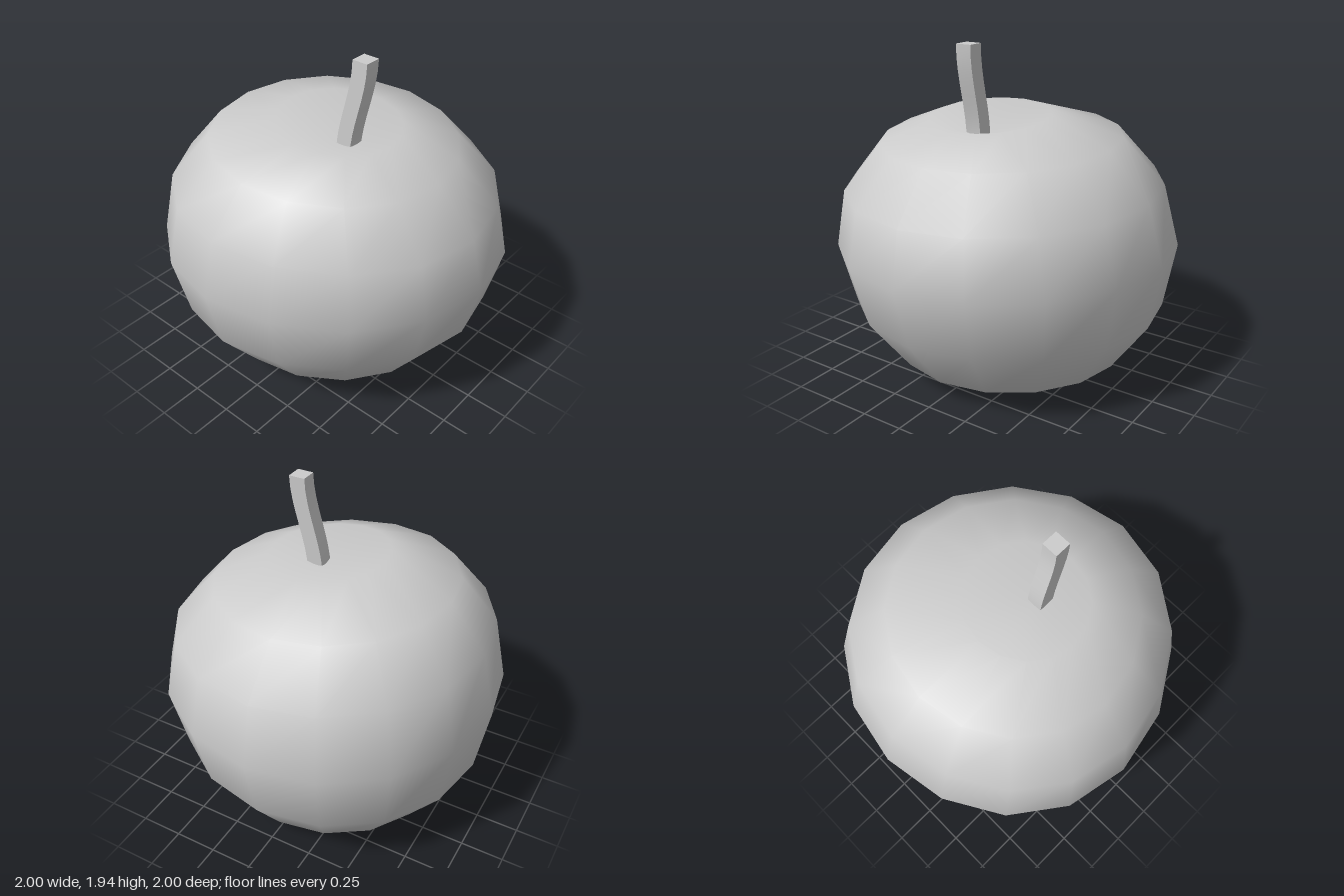
import * as THREE from 'three';
import { toCreasedNormals } from 'three/addons/utils/BufferGeometryUtils.js';

const SIDES = 16;

// Rings from bottom to top: [radius, y, centre x, centre z, fall towards the front]
const RINGS = [
  [0.37, 0.01, -0.03, -0.06, 0],
  [0.695, 0.125, 0.02, -0.025, -0.014],
  [0.92, 0.43, 0.01, -0.015, -0.02],
  [1, 0.805, 0, 0, 0.005],
  [0.925, 1.15, -0.015, 0.01, 0.04],
  [0.7, 1.41, -0.03, 0.005, 0.054],
  [0.35, 1.532, -0.06, 0.06, 0.09],
];

// Lopsided fruit with hollows at both poles
function fruitGeometry() {
  const points = [];
  const index = [];
  for (const [r, y, cx, cz, fall] of RINGS) {
    for (let i = 0; i < SIDES; i++) {
      const a = (i / SIDES) * Math.PI * 2;
      const c = Math.cos(a);
      const s = Math.sin(a);
      const drift = (0.05 - 0.025 * c) * c * c * r * r;
      points.push(cx + r * c, y - fall * r * s, cz + r * s - drift);
    }
  }
  const bottom = RINGS.length * SIDES;
  const top = bottom + 1;
  points.push(-0.02, 0.05, -0.05, -0.08, 1.42, 0.12);

  const last = (RINGS.length - 1) * SIDES;
  for (let i = 0; i < SIDES; i++) {
    const n = (i + 1) % SIDES;
    for (let k = 0; k < last; k += SIDES) {
      index.push(k + i, k + SIDES + i, k + n);
      index.push(k + n, k + SIDES + i, k + SIDES + n);
    }
    index.push(bottom, i, n, top, last + n, last + i);
  }
  const geometry = new THREE.BufferGeometry();
  geometry.setAttribute('position', new THREE.Float32BufferAttribute(points, 3));
  geometry.setIndex(index);
  geometry.computeVertexNormals();
  return geometry;
}

// Square stalk bent forward in a soft S
function stalkGeometry() {
  const base = 1.38;
  const height = 0.57;
  const geometry = new THREE.BoxGeometry(0.095, height, 0.095, 1, 8, 1);
  geometry.translate(-0.085, height / 2, 0);
  const p = geometry.attributes.position;
  for (let i = 0; i < p.count; i++) {
    const t = p.getY(i) / height;
    const bend = THREE.MathUtils.smoothstep(t, 0, 1);
    p.setXYZ(i, p.getX(i) + 0.012 * t, base + p.getY(i), p.getZ(i) + 0.14 + 0.1 * bend);
  }
  return toCreasedNormals(geometry, 0.6);
}

export function createModel() {
  const group = new THREE.Group();
  group.name = 'apple';
  const material = new THREE.MeshStandardMaterial({ color: 0xcccccc });

  const fruit = new THREE.Mesh(fruitGeometry(), material);
  fruit.name = 'fruit';
  const stalk = new THREE.Mesh(stalkGeometry(), material);
  stalk.name = 'stalk';

  group.add(fruit, stalk);
  return group;
}
